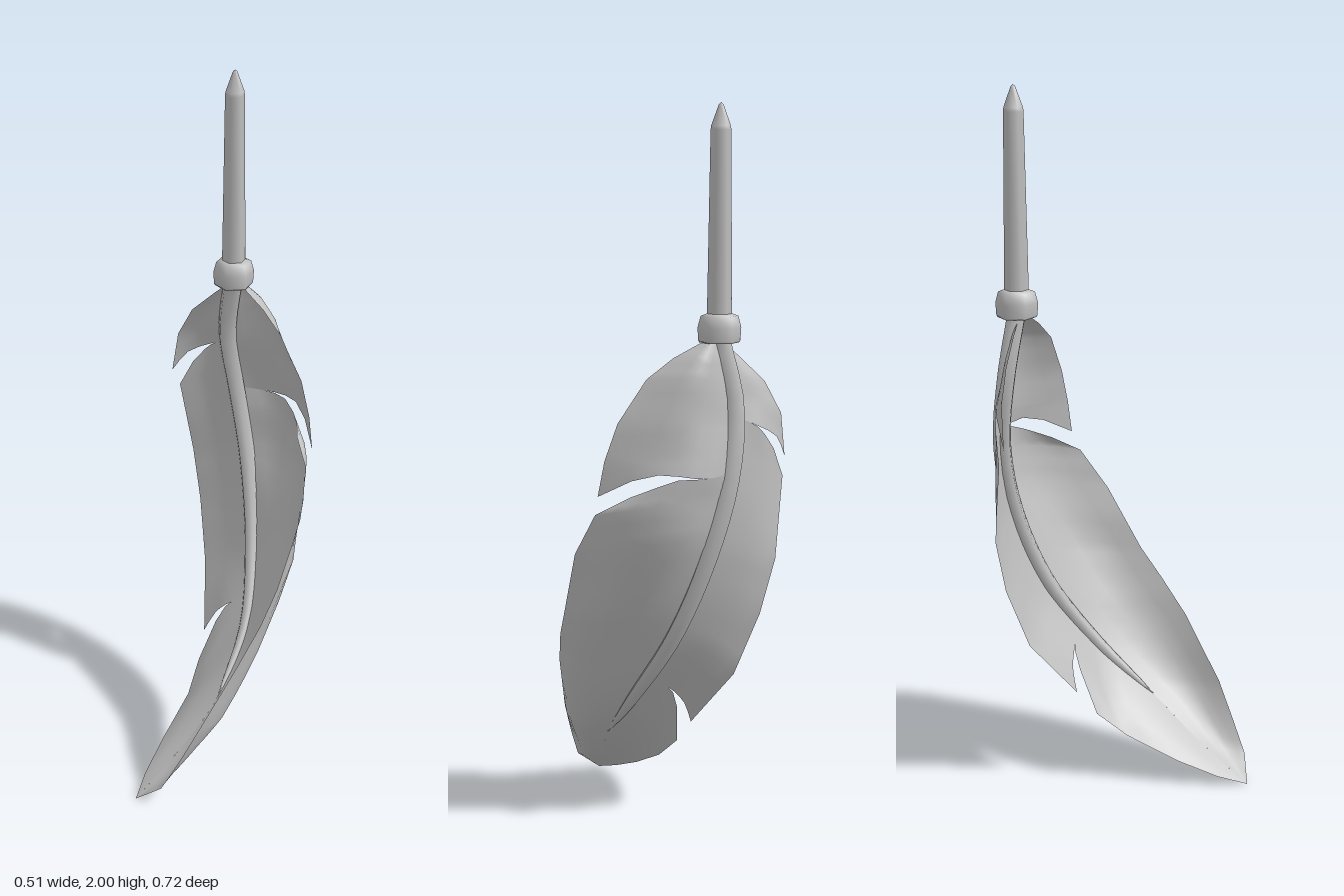
import * as THREE from 'three';

const V = (p) => new THREE.Vector3(...p);

// Centre line of the feather, from the collar down to the tip
const spinePoints = [
  [-0.053, 1.4, -0.285], [-0.083, 1.21, -0.317], [-0.058, 1.02, -0.333], [-0.01, 0.81, -0.305],
  [0.042, 0.58, -0.22], [0.08, 0.38, -0.08], [0.062, 0.22, 0.09],
  [0.01, 0.12, 0.2], [-0.045, 0.045, 0.3], [-0.08, 0, 0.365],
].map(V);
const spine = new THREE.CatmullRomCurve3(spinePoints);

// Point of the centre line at a given height
function spineAt(y) {
  let a = 0, b = 1;
  for (let i = 0; i < 30; i++) {
    const m = (a + b) / 2;
    if (spine.getPoint(m).y > y) a = m; else b = m;
  }
  return spine.getPoint(a);
}

// Sheet lofted through rows: [height on spine, edge point, optional points between]
function vane(rows, bulge = [0, 0, 0]) {
  const N = 6, STEPS = 3, pos = [], index = [];
  const lines = rows.map(([y, edge, ...between]) => {
    const start = spineAt(y), end = V(edge);
    const middle = between.length ? between.map(V)
      : [start.clone().lerp(end, 0.5).addScaledVector(V(bulge), Math.min(1, start.distanceTo(end) / 0.18))];
    return new THREE.CatmullRomCurve3([start, ...middle, end]).getPoints(N);
  });
  const last = (rows.length - 1) * STEPS;
  for (let k = 0; k <= last; k++) {
    const r = Math.min(Math.floor(k / STEPS), rows.length - 2), t = k / STEPS - r;
    const line = lines[r].map((p, i) => p.clone().lerp(lines[r + 1][i], t));
    // keep the inner border on the curved centre line
    const shift = spineAt(line[0].y).sub(line[0]);
    line.forEach((p, i) => {
      pos.push(...p.addScaledVector(shift, 1 - i / N).toArray());
      if (k && i) {
        const d = k * (N + 1) + i, c = d - 1, b = d - N - 1, a = b - 1;
        index.push(a, c, b, b, c, d);
      }
    });
  }
  const g = new THREE.BufferGeometry();
  g.setAttribute('position', new THREE.Float32BufferAttribute(pos, 3));
  g.setIndex(index);
  g.computeVertexNormals();
  return g;
}

// Tapering rib along the upper part of the centre line
function ribGeometry() {
  const path = new THREE.CatmullRomCurve3(spinePoints.slice(0, 7));
  const rings = 24, sides = 6;
  const g = new THREE.TubeGeometry(path, rings, 1, sides);
  const p = g.attributes.position, v = new THREE.Vector3();
  for (let i = 0; i < p.count; i++) {
    const t = Math.floor(i / (sides + 1)) / rings;
    const c = path.getPointAt(t);
    v.fromBufferAttribute(p, i).sub(c).multiplyScalar(0.028 - 0.004 * t - 0.023 * t ** 7).add(c);
    p.setXYZ(i, v.x, v.y, v.z);
  }
  g.computeVertexNormals();
  return g;
}

const lathe = (profile) => new THREE.LatheGeometry(profile.map(([x, y]) => new THREE.Vector2(x, y)), 6);

export function createModel() {
  const group = new THREE.Group();
  const grey = new THREE.MeshStandardMaterial({ color: 0xc0c0c0, side: THREE.DoubleSide });
  grey.name = 'feather grey';
  const add = (name, geometry) => {
    const m = new THREE.Mesh(geometry, grey);
    m.name = name;
    group.add(m);
    return m;
  };

  // Six-sided shaft with a pointed end, and its collar
  const shaft = add('shaft', lathe([[0.034, 1.4], [0.027, 1.93], [0.026, 1.94], [0.006, 1.995], [0, 2]]));
  const collar = add('collar', lathe([
    [0, 1.38], [0.053, 1.38], [0.056, 1.385], [0.058, 1.42], [0.05, 1.45], [0.034, 1.456],
  ]));
  for (const m of [shaft, collar]) m.position.set(-0.052, 0, -0.286);

  add('rib', ribGeometry());

  // Left half: short upper tuft, then the long cupped blade down to the tip
  add('leftUpperVane', vane([
    [1.39, [-0.01, 1.38, -0.265]],
    [1.34, [0.06, 1.34, -0.235]],
    [1.28, [0.125, 1.285, -0.205]],
    [1.18, [0.2, 1.17, -0.18]],
    [1.1, [0.232, 1.07, -0.165], [0.05, 1.1, -0.335], [0.155, 1.085, -0.265]],
    [1.035, [0.247, 0.975, -0.155], [0.035, 1.03, -0.348], [0.1, 1.04, -0.322], [0.165, 1.04, -0.27]],
  ], [0.02, 0.01, -0.065]));
  add('leftLowerVane', vane([
    [1.035, [0.18, 0.975, -0.21], [0.035, 1.03, -0.348], [0.1, 1.03, -0.32], [0.155, 1.0, -0.265]],
    [0.97, [0.24, 0.92, -0.13], [0.1, 0.965, -0.322], [0.195, 0.945, -0.235]],
    [0.87, [0.255, 0.8, -0.05], [0.1, 0.86, -0.305], [0.205, 0.835, -0.205]],
    [0.72, [0.228, 0.62, 0.05], [0.14, 0.68, -0.205], [0.225, 0.64, -0.085]],
    [0.6, [0.205, 0.53, 0.115], [0.14, 0.55, -0.135], [0.207, 0.53, -0.02]],
    [0.48, [0.167, 0.43, 0.185], [0.14, 0.425, -0.05], [0.183, 0.41, 0.08]],
    [0.3, [0.09, 0.25, 0.285], [0.11, 0.255, 0.1], [0.123, 0.24, 0.2]],
    [0.2, [0.045, 0.15, 0.325], [0.075, 0.165, 0.22]],
    [0.09, [0, 0.06, 0.36], [0.003, 0.07, 0.3]],
    [0, [-0.08, 0, 0.365]],
  ]));

  // Right half: tuft, long middle blade and the tip piece, parted by notches
  const rightBulge = [-0.01, 0, -0.012];
  add('rightUpperVane', vane([
    [1.39, [-0.07, 1.38, -0.28]],
    [1.34, [-0.115, 1.34, -0.29]],
    [1.29, [-0.19, 1.27, -0.305]],
    [1.24, [-0.24, 1.18, -0.315]],
    [1.185, [-0.258, 1.06, -0.31], [-0.145, 1.155, -0.34], [-0.215, 1.12, -0.328]],
  ], rightBulge));
  add('rightMiddleVane', vane([
    [1.185, [-0.2, 1.09, -0.335], [-0.145, 1.152, -0.34]],
    [1.09, [-0.24, 1.01, -0.325]],
    [0.87, [-0.205, 0.785, -0.343]],
    [0.72, [-0.172, 0.63, -0.32]],
    [0.58, [-0.13, 0.45, -0.26]],
    [0.45, [-0.077, 0.285, -0.13], [-0.01, 0.39, -0.14], [-0.045, 0.35, -0.143]],
  ], rightBulge));
  add('rightLowerVane', vane([
    [0.45, [-0.07, 0.215, -0.073], [-0.01, 0.385, -0.138]],
    [0.36, [-0.067, 0.145, 0.015]],
    [0.24, [-0.085, 0.075, 0.16]],
    [0.12, [-0.09, 0.027, 0.28]],
    [0, [-0.08, 0, 0.365]],
  ], rightBulge));

  return group;
}
